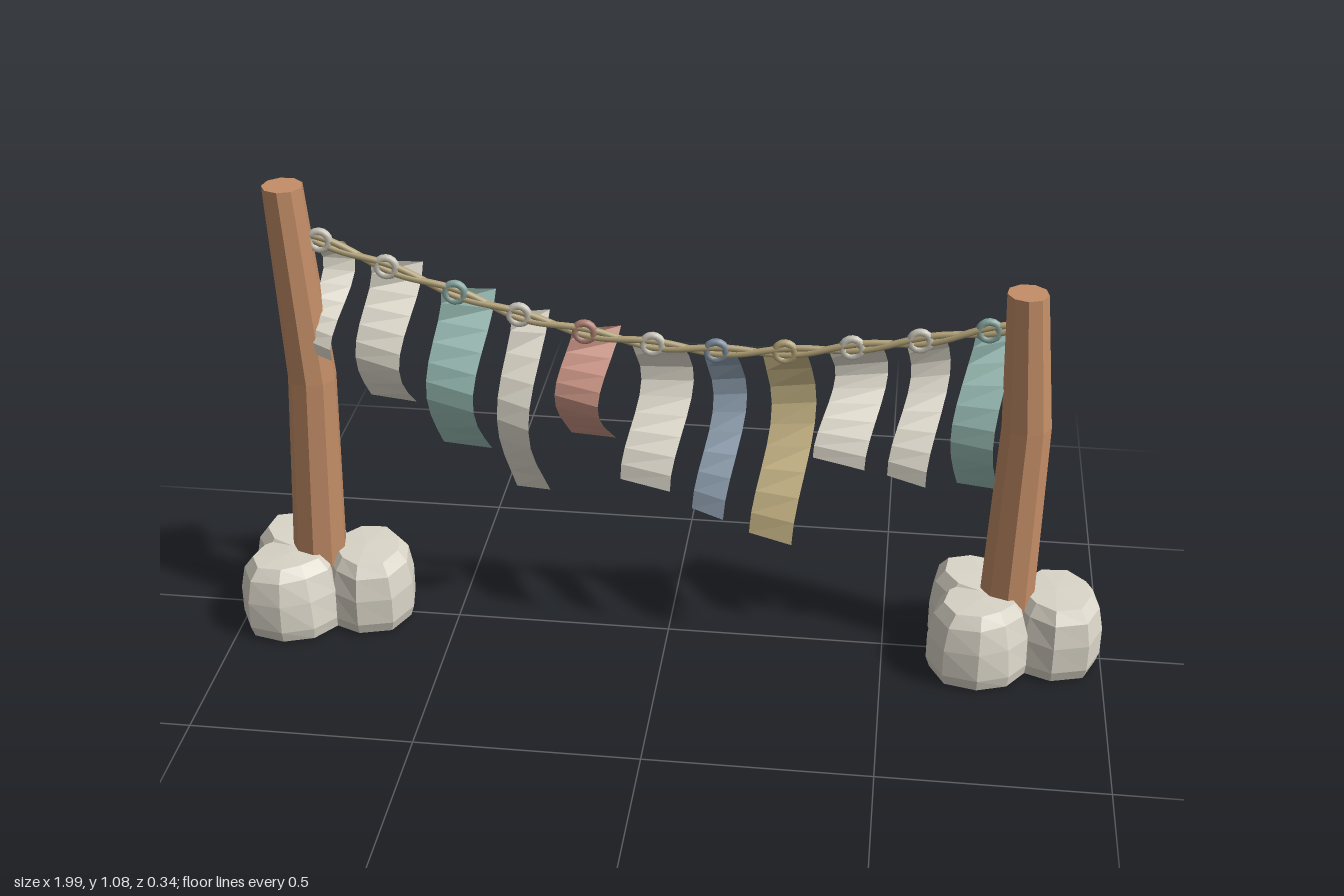
import * as THREE from 'three';

const { lerp } = THREE.MathUtils;
const paint = (color, flatShading = true) => new THREE.MeshStandardMaterial({
  color, flatShading, side: THREE.DoubleSide,
});
const WOOD = paint(0xc48e67), STONE = paint(0xdad5c8), ROPE = paint(0xae9e74, false);
const CREAM = 0xe6e1d3, TEAL = 0x9cc0b8, PINK = 0xcb9585, BLUE = 0x91a2b3, GOLD = 0xcdbb8a;

function add(parent, name, geometry, material) {
  const mesh = new THREE.Mesh(geometry, material);
  mesh.name = name;
  parent.add(mesh);
  return mesh;
}

// Moves every vertex of a geometry by a rule
function warp(geometry, rule) {
  const p = geometry.attributes.position, v = new THREE.Vector3();
  for (let i = 0; i < p.count; i++) {
    v.fromBufferAttribute(p, i);
    rule(v);
    p.setXYZ(i, v.x, v.y, v.z);
  }
  geometry.computeVertexNormals();
  return geometry;
}

// Tapered post with one kink; rings are [x centre, y]
function makePost(rings) {
  return warp(new THREE.CylinderGeometry(0.045, 0.065, 2, 9, 2), (v) => {
    const [x, y] = rings[Math.round(v.y + 1)];
    v.x += x;
    v.y = y;
  });
}

// Squat boulder with flat top and bottom, uneven outline and one sloping side
function makeStone(seed) {
  const profile = [[0, 0.003], [0.108, 0.003], [0.117, 0.03], [0.117, 0.095],
    [0.106, 0.15], [0.084, 0.178], [0, 0.182]].map(([r, y]) => new THREE.Vector2(r, y));
  return warp(new THREE.LatheGeometry(profile, 9), (v) => {
    const a = Math.atan2(v.z, v.x);
    const f = 1 + 0.035 * Math.sin(3 * a + seed) + 0.02 * Math.sin(2 * a + seed * 2.3)
      - 1.2 * v.y * Math.max(0, Math.sin(a + seed)) ** 2;
    v.y += v.y * 0.3 * (v.x * Math.cos(seed) + v.z * Math.sin(seed));
    v.x *= f;
    v.z *= f;
  });
}

// Sagging line the rope follows
const line = new THREE.CatmullRomCurve3([
  [-0.82, 0.972], [-0.77, 0.957], [-0.62, 0.9], [-0.47, 0.847], [-0.33, 0.801], [-0.18, 0.767],
  [-0.03, 0.746], [0.11, 0.739], [0.26, 0.746], [0.4, 0.764], [0.55, 0.79], [0.69, 0.822], [0.77, 0.838],
].map(([x, y]) => new THREE.Vector3(x, y, 0)));
const linePoints = line.getSpacedPoints(200);
function lineY(x) {
  const i = Math.max(1, linePoints.findIndex((p) => p.x >= x));
  const a = linePoints[i - 1], b = linePoints[i];
  return lerp(a.y, b.y, (x - a.x) / (b.x - a.x));
}

// One of two strands weaving around each other
function makeStrand(sign) {
  const pts = line.getSpacedPoints(80).map((p, i) => new THREE.Vector3(
    p.x, p.y + sign * 0.008 * Math.sin(i * 0.43), sign * 0.002 * Math.cos(i * 0.43)));
  return new THREE.TubeGeometry(new THREE.CatmullRomCurve3(pts), 160, 0.008, 8);
}

// Hanging strip rippling diagonally, its top left corner held at the rope
function makeCloth(x0, x1, bottom, phase) {
  const mid = (x0 + x1) / 2;
  return warp(new THREE.PlaneGeometry(1, 1, 1, 9), (p) => {
    const u = p.x + 0.5, v = 0.5 - p.y;
    const x = lerp(x0, x1, u);
    const top = lerp(lineY(mid), lineY(x), 0.6);
    const ripple = Math.sin(phase + 4.7 * v);
    p.x = x + 0.02 * ripple;
    p.y = lerp(top, bottom + 0.012 * (0.5 - u), v);
    p.z = -0.058 * ripple * lerp(0.6 * Math.min(1, 4 * v), 1, u);
  });
}

export function createModel() {
  const model = new THREE.Group();
  model.name = 'clothesline';

  // Posts, each wedged between three boulders
  const posts = [
    ['rightPost', [[-0.832, 0], [-0.808, 0.62], [-0.838, 1.08]], -0.8],
    ['leftPost', [[0.772, 0], [0.786, 0.6], [0.765, 0.915]], 0.8],
  ];
  for (const [name, rings, baseX] of posts) {
    add(model, name, makePost(rings), WOOD);
    const base = new THREE.Group();
    base.name = name + 'Stones';
    base.position.x = baseX;
    [[-0.083, 0.061], [-0.083, -0.061], [0.084, 0]].forEach(([x, z], i) => {
      add(base, 'stone', makeStone(0.9 + i * 2.1), STONE).position.set(x, 0, z);
    });
    model.add(base);
  }

  // Rope
  for (const sign of [1, -1]) add(model, 'ropeStrand', makeStrand(sign), ROPE);

  // Cloths: left edge, right edge, bottom, ripple phase, loop position, colour
  const cloths = [
    [-0.79, -0.725, 0.695, 0.4, -0.765, CREAM],
    [-0.675, -0.572, 0.575, 1.6, -0.62, CREAM],
    [-0.52, -0.41, 0.46, 1.8, -0.47, TEAL],
    [-0.362, -0.287, 0.35, 2.1, -0.33, CREAM],
    [-0.23, -0.13, 0.5, 2, -0.185, PINK],
    [-0.085, 0.03, 0.415, 0.1, -0.035, CREAM],
    [0.077, 0.15, 0.35, -0.1, 0.105, BLUE],
    [0.207, 0.305, 0.295, -0.1, 0.255, GOLD],
    [0.345, 0.46, 0.5, 0.1, 0.4, CREAM],
    [0.51, 0.595, 0.465, 0.2, 0.545, CREAM],
    [0.643, 0.735, 0.435, 1.7, 0.69, TEAL],
  ];
  for (const [x0, x1, bottom, phase, loopX, color] of cloths) {
    const cloth = new THREE.Group();
    cloth.name = 'hangingCloth';
    add(cloth, 'cloth', makeCloth(x0, x1, bottom, phase), paint(color));
    // Loop tying the cloth to the rope
    const loop = add(cloth, 'loop', new THREE.TorusGeometry(0.021, 0.009, 8, 16), paint(color, false));
    loop.material.color.multiplyScalar(0.75);
    loop.position.set(loopX, lineY(loopX), 0);
    model.add(cloth);
  }
  return model;
}
